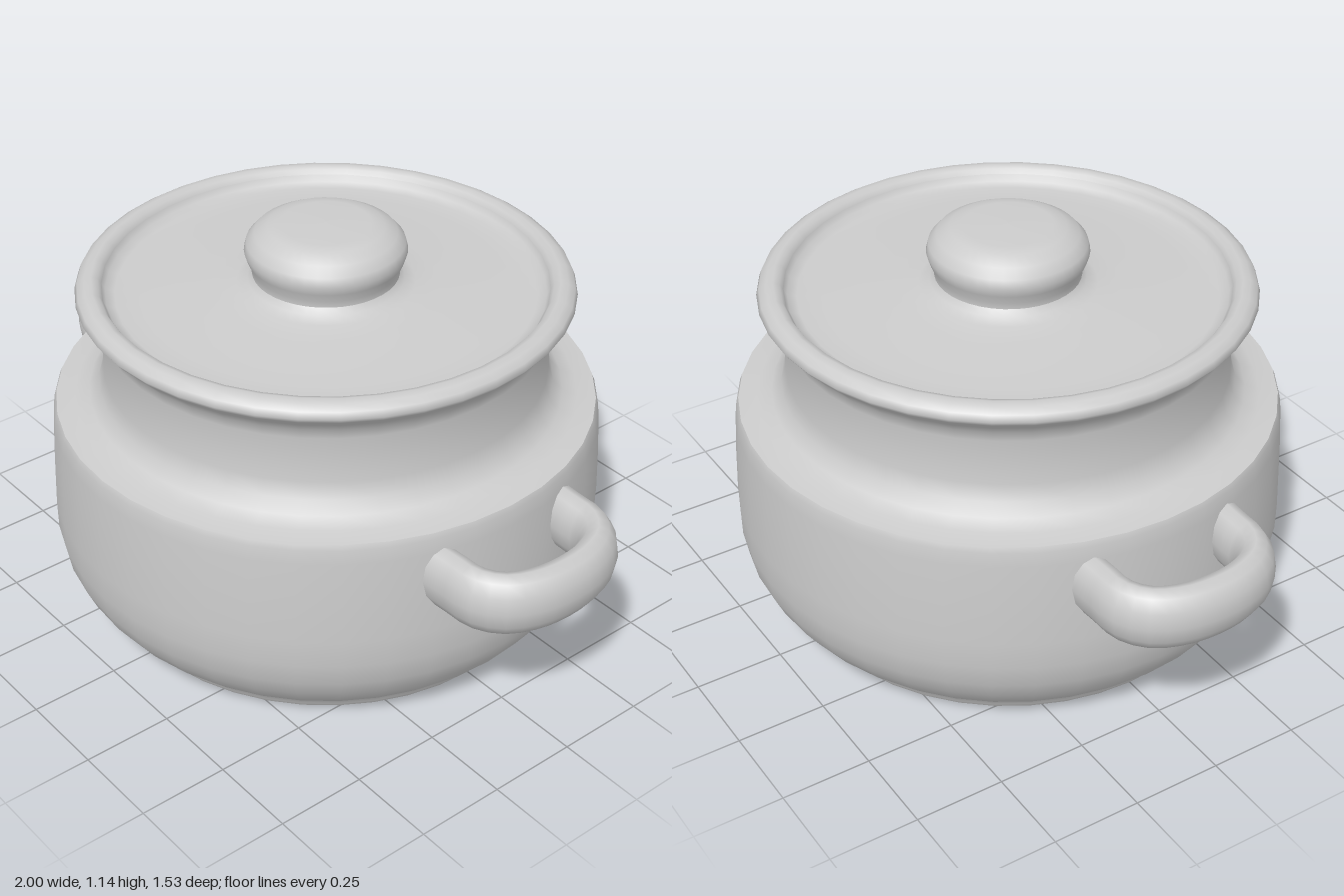
import * as THREE from 'three';

const material = new THREE.MeshStandardMaterial({ color: 0xcccccc });

// Revolve a profile of [radius, height] pairs around the y axis
function turned(name, profile) {
  const points = profile.map(([r, y]) => new THREE.Vector2(r, y));
  const mesh = new THREE.Mesh(new THREE.LatheGeometry(points, 40), material);
  mesh.name = name;
  return mesh;
}

// Loop handle: a tube stretched upright into an oval section
function handle(name, side) {
  const half = [[0.68, 0.21], [0.76, 0.205], [0.84, 0.2], [0.9, 0.16], [0.935, 0.085]];
  const path = [...half, [0.945, 0], ...half.map(([x, z]) => [x, -z]).reverse()];
  const curve = new THREE.CatmullRomCurve3(path.map(([x, z]) => new THREE.Vector3(x, 0, z)));
  const geometry = new THREE.TubeGeometry(curve, 24, 0.055, 12);
  geometry.scale(1, 1.6, 1);
  const mesh = new THREE.Mesh(geometry, material);
  mesh.name = name;
  mesh.position.y = 0.5;
  mesh.rotation.y = side > 0 ? 0 : Math.PI;
  return mesh;
}

export function createModel() {
  const pot = new THREE.Group();
  pot.name = 'lidded pot';

  pot.add(
    turned('base', [[0, 0], [0.615, 0]]),
    // foot ring and rounded belly
    turned('belly', [
      [0.615, 0], [0.625, 0.015], [0.635, 0.04], [0.66, 0.055], [0.69, 0.085], [0.725, 0.135],
      [0.75, 0.19], [0.763, 0.26], [0.764, 0.34], [0.76, 0.46], [0.753, 0.58], [0.748, 0.62], [0.742, 0.635],
    ]),
    // shoulder step, waisted neck and flared rim
    turned('neck', [
      [0.742, 0.635], [0.69, 0.64], [0.65, 0.655], [0.622, 0.685], [0.608, 0.73], [0.605, 0.8],
      [0.606, 0.86], [0.613, 0.89], [0.635, 0.918], [0.66, 0.942], [0.671, 0.957],
      [0.664, 0.975], [0.645, 0.987], [0.625, 0.991], [0.608, 0.985], [0.6, 0.972],
    ]),
    // slightly dished lid
    turned('lid', [
      [0.6, 0.972], [0.59, 0.953], [0.565, 0.945], [0.5, 0.946],
      [0.4, 0.951], [0.3, 0.957], [0.24, 0.964], [0.21, 0.975], [0.198, 0.992],
    ].reverse().map(([r, y]) => [r, y]).reverse()),
    turned('knob', [
      [0.198, 0.992], [0.199, 1.01], [0.21, 1.035], [0.218, 1.06], [0.212, 1.085],
      [0.19, 1.11], [0.155, 1.129], [0.12, 1.135], [0, 1.137],
    ]),
    handle('leftHandle', 1),
    handle('rightHandle', -1),
  );
  return pot;
}
